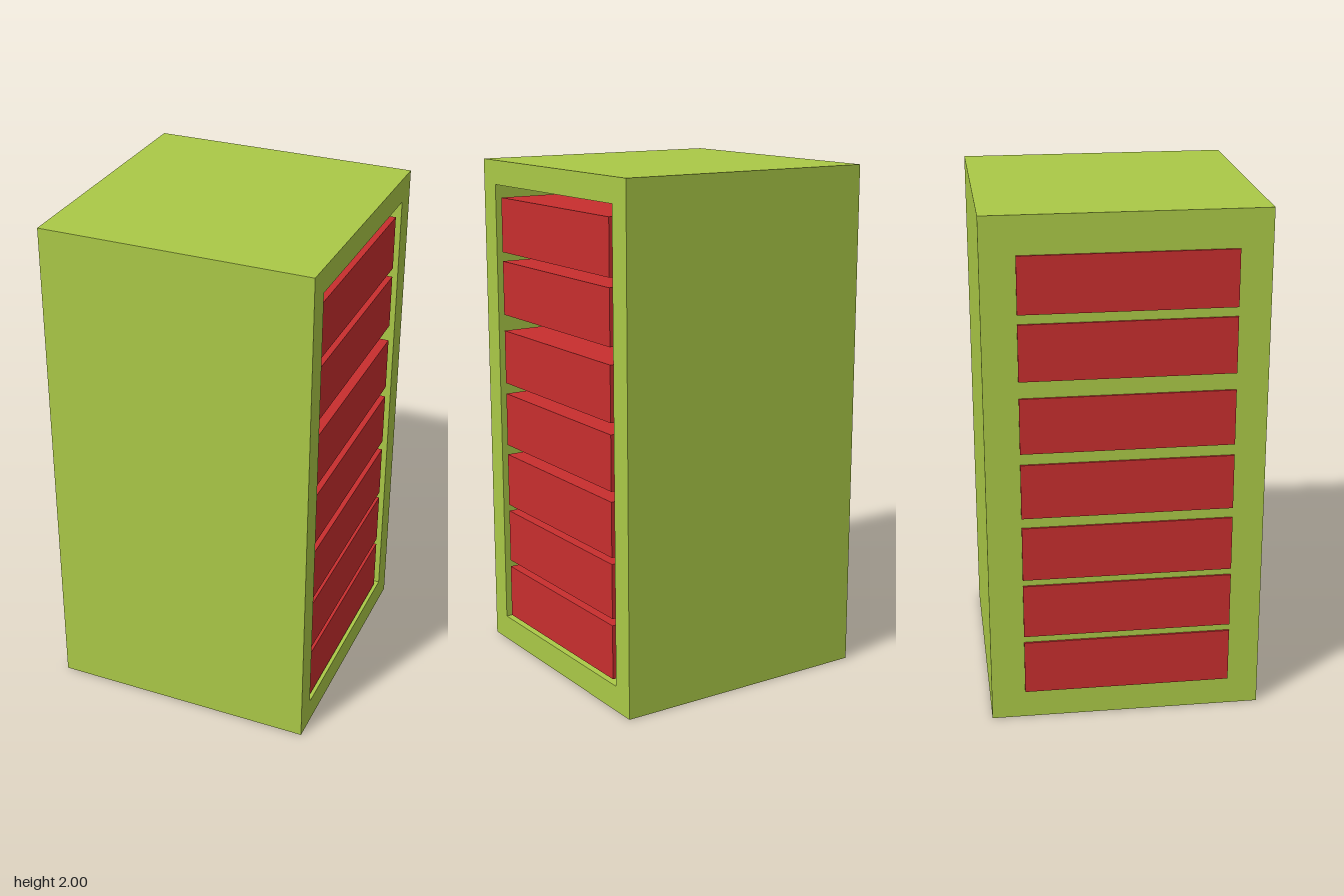
import * as THREE from 'three';

const green = new THREE.MeshStandardMaterial({ color: 0xabc947 });
const red = new THREE.MeshStandardMaterial({ color: 0xc82e2e });

const BACK = -0.522, FRONT = 0.527, WALL = 0.09; // cabinet extent along x

// Closed rectangle as a list of corners
function rect(x0, y0, x1, y1) {
  return [[x0, y0], [x1, y0], [x1, y1], [x0, y1]].map(([x, y]) => new THREE.Vector2(x, y));
}

function addMesh(group, name, geometry, material) {
  const mesh = new THREE.Mesh(geometry, material);
  mesh.name = name;
  group.add(mesh);
  return mesh;
}

export function createModel() {
  const model = new THREE.Group();
  model.name = 'drawerCabinet';

  // Cabinet shell: rectangular tube open towards +x
  const outline = new THREE.Shape(rect(-0.525, 0, 0.525, 2));
  outline.holes.push(new THREE.Path(rect(-0.433, 0.1, 0.433, 1.905).reverse()));
  const shell = new THREE.ExtrudeGeometry(outline, { depth: FRONT - BACK, bevelEnabled: false });
  shell.rotateY(Math.PI / 2).translate(BACK, 0, 0);
  addMesh(model, 'cabinetShell', shell, green);

  // Panel closing the far end of the shell
  const panel = new THREE.BoxGeometry(WALL, 1.805, 0.866);
  addMesh(model, 'backPanel', panel, green).position.set(BACK + WALL / 2, 1.0025, 0);

  // Stack of drawers, running through the back panel
  const drawers = new THREE.Group();
  drawers.name = 'drawers';
  model.add(drawers);
  const drawerBack = -0.53, drawerFront = 0.517;
  const drawer = new THREE.BoxGeometry(drawerFront - drawerBack, 0.215, 0.8);
  [0.22, 0.462, 0.703, 0.958, 1.217, 1.497, 1.748].forEach((y, i) => {
    addMesh(drawers, `drawer${i + 1}`, drawer, red)
      .position.set((drawerFront + drawerBack) / 2, y, 0.005);
  });

  return model;
}
